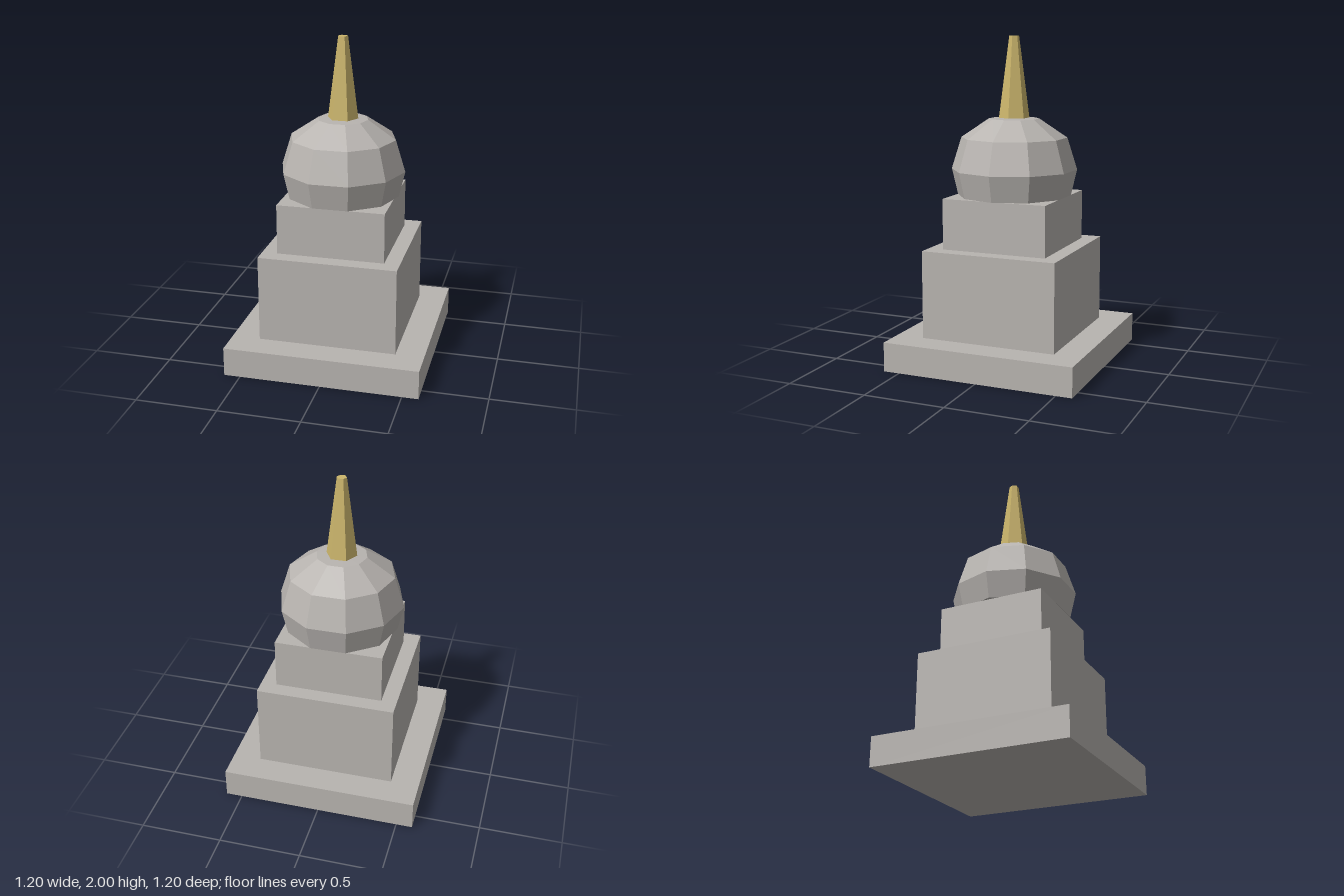
import * as THREE from 'three';

export function createModel() {
  const model = new THREE.Group();
  const stone = new THREE.MeshStandardMaterial({ name: 'stone', color: 0xb8b4b0, flatShading: true });
  const gold = new THREE.MeshStandardMaterial({ name: 'gold', color: 0xccb66c, flatShading: true });

  const add = (name, geometry, material, y = 0) => {
    const mesh = new THREE.Mesh(geometry, material);
    mesh.name = name;
    mesh.position.y = y;
    model.add(mesh);
  };

  // Stepped square tiers: name, width, bottom, top
  const tiers = [
    ['plinth', 1.2, 0, 0.18],
    ['lowerTier', 0.85, 0.18, 0.72],
    ['upperTier', 0.66, 0.72, 1.03],
  ];
  for (const [name, width, bottom, top] of tiers) {
    add(name, new THREE.BoxGeometry(width, top - bottom, width), stone, (bottom + top) / 2);
  }

  // Ten-sided faceted dome, with corners on the x axis
  const profile = [[0, 1.03], [0.35, 1.03], [0.387, 1.19], [0.326, 1.385], [0.155, 1.5], [0, 1.505]]
    .map(([r, y]) => new THREE.Vector2(r, y));
  add('dome', new THREE.LatheGeometry(profile, 10, Math.PI / 2), stone);

  // Six-sided tapered spire
  const spire = new THREE.CylinderGeometry(0.03, 0.094, 0.495, 6, 1, false, Math.PI / 2);
  add('spire', spire, gold, 1.7525);

  return model;
}
